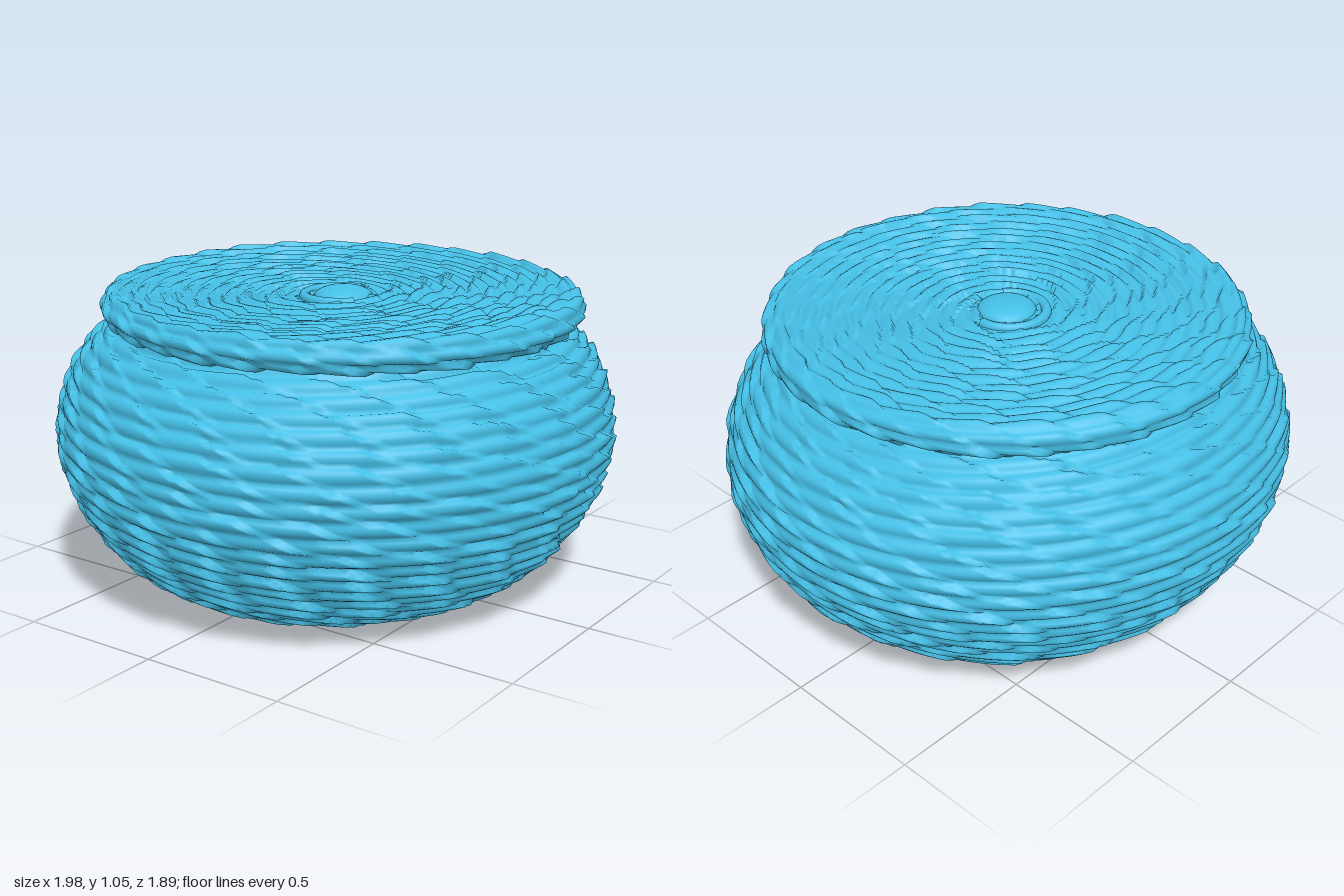
import * as THREE from 'three';
import { mergeVertices } from 'three/addons/utils/BufferGeometryUtils.js';

const straw = new THREE.MeshStandardMaterial({ color: 0x45bfe6, roughness: 0.9, side: THREE.DoubleSide });
const fract = v => v - Math.floor(v);
const hash = n => fract(Math.sin(n * 127.1 + 3.7) * 43758.5453);

// Lathed surface whose skin is raised into a spiral of overlapping slanted stitches.
// pitch: height of one coil, stitch: length of one stitch, depth: relief of the weave
function wovenLathe(profile, rings, segments, pitch, stitch, depth) {
  const curve = new THREE.SplineCurve(profile.map(([r, y]) => new THREE.Vector2(r, y)));
  const length = curve.getLength();
  const pts = curve.getSpacedPoints(rings);
  pts.forEach(p => { p.x = Math.max(p.x, 0); });
  const geo = new THREE.LatheGeometry(pts, segments);
  const pos = geo.attributes.position;
  const nor = geo.attributes.normal;
  for (let i = 0; i < pos.count; i++) {
    const ring = i % (rings + 1);
    const turn = (Math.floor(i / (rings + 1)) % segments) / segments;
    const r = pts[ring].x;
    const row = ring / rings * length / pitch + turn;
    const coil = Math.floor(row);
    const f = row - coil;
    // stitches per coil follow the radius, so all stitches are about the same length
    const rowRadius = curve.getPointAt(THREE.MathUtils.clamp((coil + 0.5) * pitch / length, 0, 1)).x;
    const count = Math.max(5, Math.round(2 * Math.PI * rowRadius / stitch));
    const phase = turn * count + hash(coil) + f * 0.7;
    const slat = fract(phase);
    const relief = 0.55 * Math.sin(Math.PI * f) + 0.75 * slat * (0.4 + 0.6 * f)
      + 0.3 * hash(Math.floor(phase) % count + coil * 31) - 0.65;
    const d = depth * relief * Math.min(1, r / 0.12);
    pos.setXYZ(i, pos.getX(i) + nor.getX(i) * d, pos.getY(i) + nor.getY(i) * d, pos.getZ(i) + nor.getZ(i) * d);
  }
  geo.deleteAttribute('uv');
  geo.deleteAttribute('normal');
  const welded = mergeVertices(geo, 1e-5);
  welded.computeVertexNormals();
  return welded;
}

function addMesh(group, name, geometry) {
  const mesh = new THREE.Mesh(geometry, straw);
  mesh.name = name;
  group.add(mesh);
  return mesh;
}

export function createModel() {
  const basket = new THREE.Group();
  basket.name = 'wovenBasket';

  // Rounded bowl, slightly wider than deep, leaning a little to the front
  const bowl = addMesh(basket, 'bowl', wovenLathe([
    [0, 0.025], [0.25, 0.025], [0.48, 0.03], [0.62, 0.05], [0.75, 0.115], [0.85, 0.215],
    [0.93, 0.34], [0.97, 0.45], [0.982, 0.56], [0.965, 0.67], [0.915, 0.78],
    [0.85, 0.86], [0.77, 0.915], [0.73, 0.94],
  ], 176, 264, 0.056, 0.24, 0.026));
  bowl.scale.z = 0.95;
  bowl.rotation.set(0.022, 0, 0.008);

  // Lid: thick rolled edge and a nearly flat coiled top
  const lid = new THREE.Group();
  lid.name = 'lid';
  lid.position.set(0, 0, 0.025);
  lid.rotation.set(0.012, 0, 0.015);
  basket.add(lid);
  addMesh(lid, 'lidTop', wovenLathe([
    [0.70, 0.94], [0.745, 0.925], [0.785, 0.93], [0.806, 0.965], [0.797, 1.0], [0.765, 1.02],
    [0.70, 1.012], [0.55, 1.0], [0.35, 0.992], [0.15, 0.988], [0, 0.988],
  ], 100, 224, 0.05, 0.17, 0.024));

  // Small flattened knob with a partial coil around it
  const knob = addMesh(lid, 'knob', new THREE.SphereGeometry(0.1, 24, 14));
  knob.scale.y = 0.38;
  knob.position.set(-0.01, 0.987, 0.01);
  const start = new THREE.TorusGeometry(0.125, 0.018, 8, 32, Math.PI * 1.3);
  start.rotateX(-Math.PI / 2);
  const coil = addMesh(lid, 'knobCoil', start);
  coil.position.set(-0.01, 0.988, 0);

  return basket;
}
